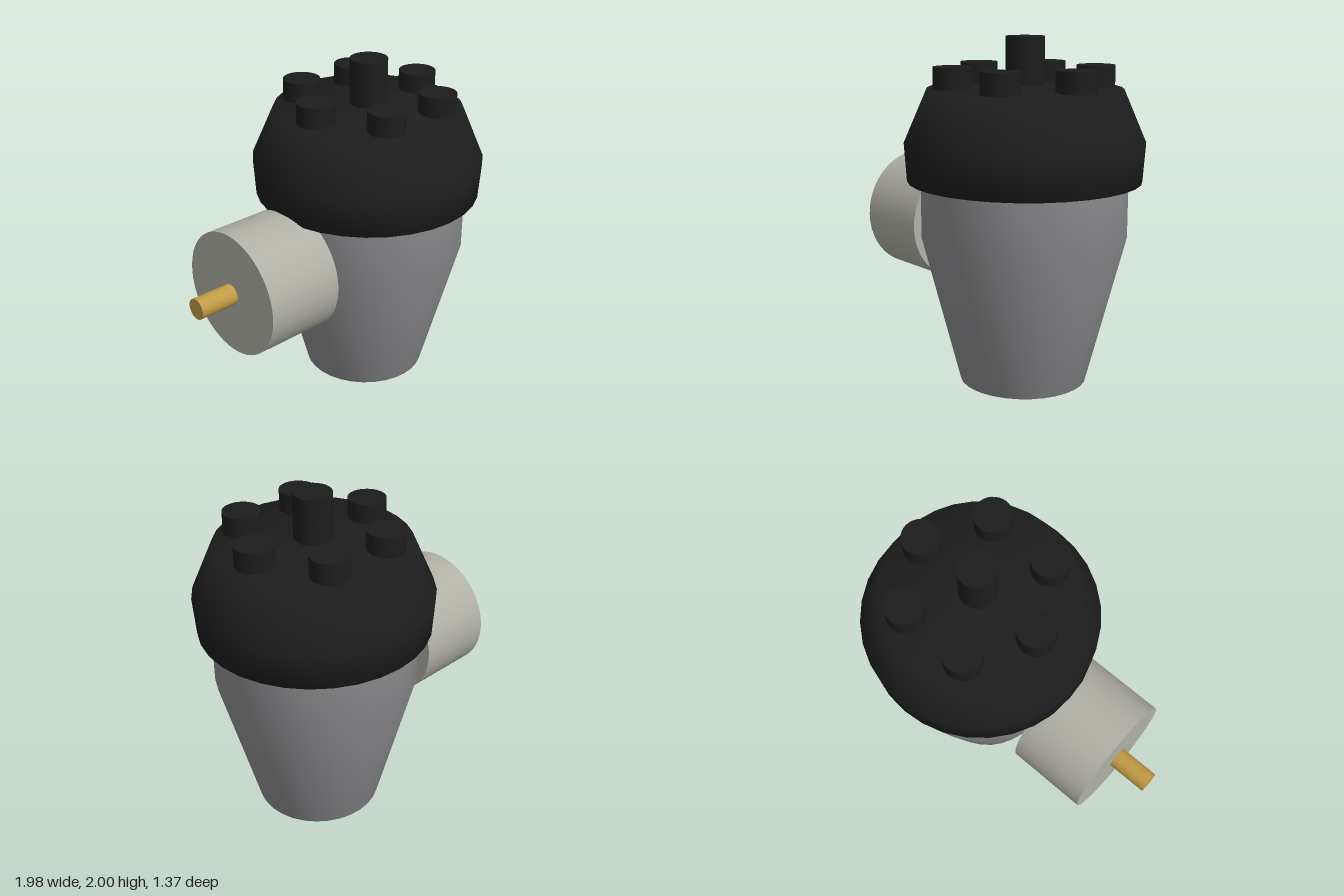
import * as THREE from 'three';

export function createModel() {
  const group = new THREE.Group();
  group.name = 'distributor';
  const AXIS_X = 0.305; // vertical axis of housing and cap

  const material = (color, side = THREE.FrontSide) => {
    const m = new THREE.MeshStandardMaterial({ side });
    m.color.set(color);
    return m;
  };
  const housingMat = material(0x8c8c8f, THREE.DoubleSide);
  const capMat = material(0x1c1c1c, THREE.DoubleSide);
  const canisterMat = material(0xb0b0a6);
  const brassMat = material(0xc09a45);

  const add = (name, geometry, mat, x, y, z) => {
    const mesh = new THREE.Mesh(geometry, mat);
    mesh.name = name;
    mesh.position.set(x, y, z);
    group.add(mesh);
    return mesh;
  };
  const lathe = (points) =>
    new THREE.LatheGeometry(points.map(([r, y]) => new THREE.Vector2(r, y)), 32);

  // Hollow tapered housing, open through the bottom rim
  add('housing', lathe([[0.26, 0], [0.37, 0], [0.592, 0.86], [0.592, 1.25]]),
    housingMat, AXIS_X, 0, 0);

  // Flared cap with a slightly domed top and an underside lip
  add('cap', lathe([[0.585, 1.19], [0.67, 1.19], [0.685, 1.41], [0.555, 1.71], [0, 1.737]]),
    capMat, AXIS_X, 0, 0);

  // Upright terminals: one tall in the centre, six short around it
  const terminal = (name, top, x, z) => {
    const base = 1.66;
    add(name, new THREE.CylinderGeometry(0.11, 0.11, top - base, 32), capMat,
      AXIS_X + x, (top + base) / 2, z);
  };
  terminal('centreTerminal', 2, 0, 0);
  for (let i = 0; i < 6; i++) {
    const a = (i * Math.PI) / 3;
    terminal(`outerTerminal${i + 1}`, 1.835, 0.41 * Math.cos(a), 0.41 * Math.sin(a));
  }

  // Side canister and its brass pipe, lying along x
  const sideCylinder = (name, radius, x0, x1, mat) => {
    const mesh = add(name, new THREE.CylinderGeometry(radius, radius, x1 - x0, 48), mat,
      (x0 + x1) / 2, 0.855, 0);
    mesh.rotation.z = Math.PI / 2;
  };
  sideCylinder('sideCanister', 0.37, -0.75, -0.27, canisterMat);
  sideCylinder('brassPipe', 0.062, -0.99, -0.74, brassMat);

  return group;
}
